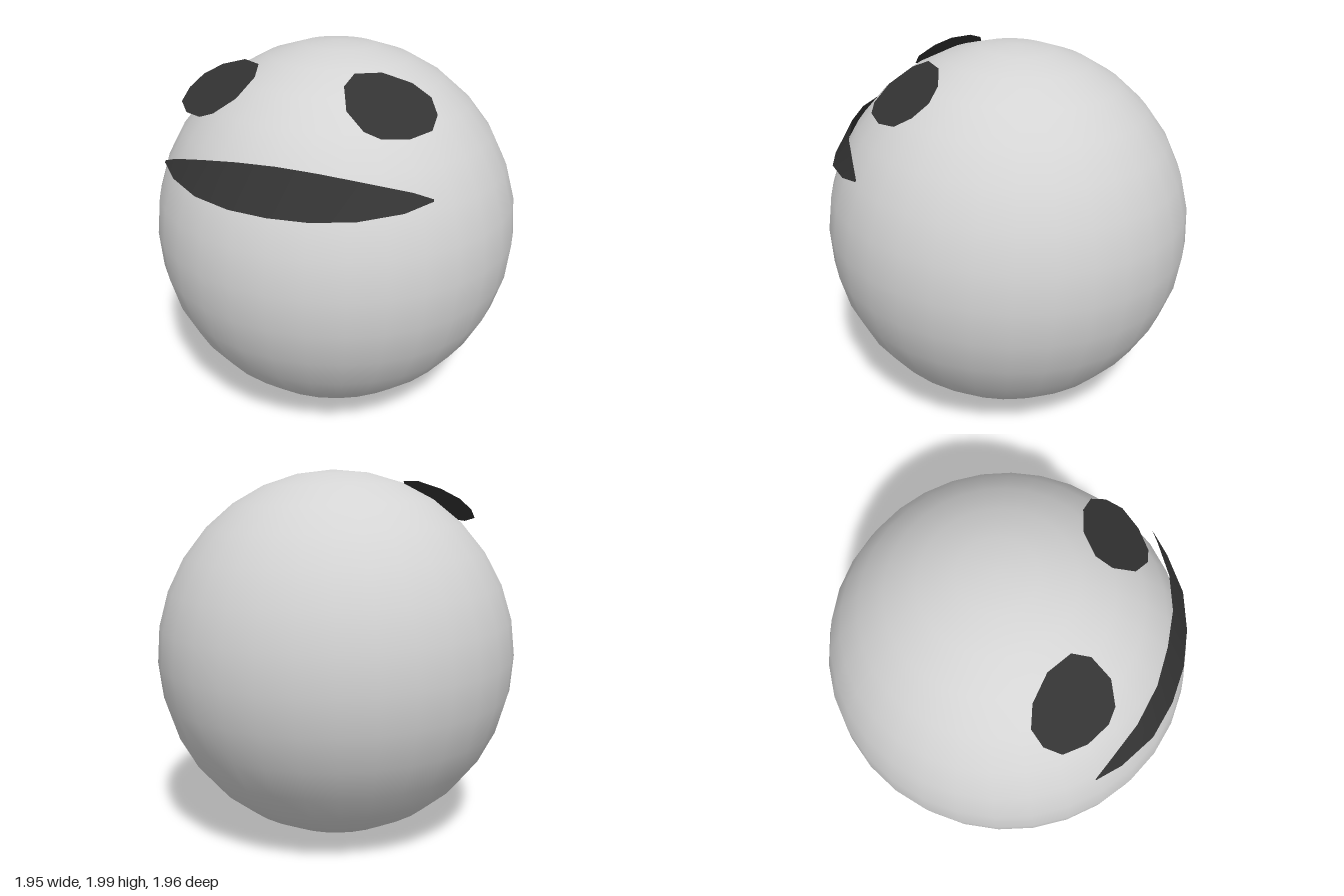
import * as THREE from 'three';

const bodyMat = new THREE.MeshStandardMaterial({ color: 0xd4d4d4 });
bodyMat.name = 'lightGrey';
const faceMat = new THREE.MeshStandardMaterial({ color: 0x333333, side: THREE.DoubleSide });
faceMat.name = 'charcoal';

function meshFrom(name, points, index) {
  const geo = new THREE.BufferGeometry();
  geo.setAttribute('position', new THREE.Float32BufferAttribute(points.flat(), 3));
  geo.setIndex(index);
  geo.computeVertexNormals();
  const mesh = new THREE.Mesh(geo, faceMat);
  mesh.name = name;
  return mesh;
}

// Flat eye patch: an (x, z) outline laid on a plane just off the ball
function makeEye(name, mirrored) {
  const outline = [
    [0.2, 0.45], [0.25, 0.56], [0.35, 0.61], [0.43, 0.6], [0.54, 0.53], [0.62, 0.43],
    [0.62, 0.34], [0.57, 0.27], [0.47, 0.25], [0.33, 0.28], [0.22, 0.36],
  ];
  const points = outline.map(([x, z]) =>
    [mirrored ? -0.05 - x : x, 1.83 - 0.43 * (x - 0.41) - 0.52 * (z - 0.43), z]);
  if (mirrored) points.reverse();
  const index = [];
  for (let i = 1; i < points.length - 1; i++) index.push(0, i, i + 1);
  return meshFrom(name, points, index);
}

// Mouth: strip between an upper and a lower lip curve, mirrored across x
function makeMouth() {
  const upper = [[0, 1.62, 0.8], [0.2, 1.61, 0.79], [0.4, 1.575, 0.74], [0.6, 1.52, 0.65], [0.685, 1.485, 0.61]];
  const lower = [[0, 1.42, 0.92], [0.2, 1.42, 0.9], [0.4, 1.43, 0.84], [0.58, 1.445, 0.72], [0.685, 1.475, 0.615]];
  const both = (half) => [...half.slice(1).reverse().map(([x, y, z]) => [-x, y, z]), ...half];
  const top = both(upper), bottom = both(lower);
  const n = top.length;
  const index = [];
  for (let i = 0; i < n - 1; i++) {
    index.push(i, n + i, i + 1, i + 1, n + i, n + i + 1);
  }
  return meshFrom('mouth', [...top, ...bottom], index);
}

export function createModel() {
  const model = new THREE.Group();
  model.name = 'smilingBall';

  // Slightly tilted ball
  const geo = new THREE.SphereGeometry(1, 32, 16);
  geo.rotateX(-0.05);
  geo.scale(0.977, 0.998, 0.982);
  const ball = new THREE.Mesh(geo, bodyMat);
  ball.name = 'ball';
  ball.position.y = 1.001;

  model.add(ball, makeEye('leftEye', false), makeEye('rightEye', true), makeMouth());
  return model;
}
